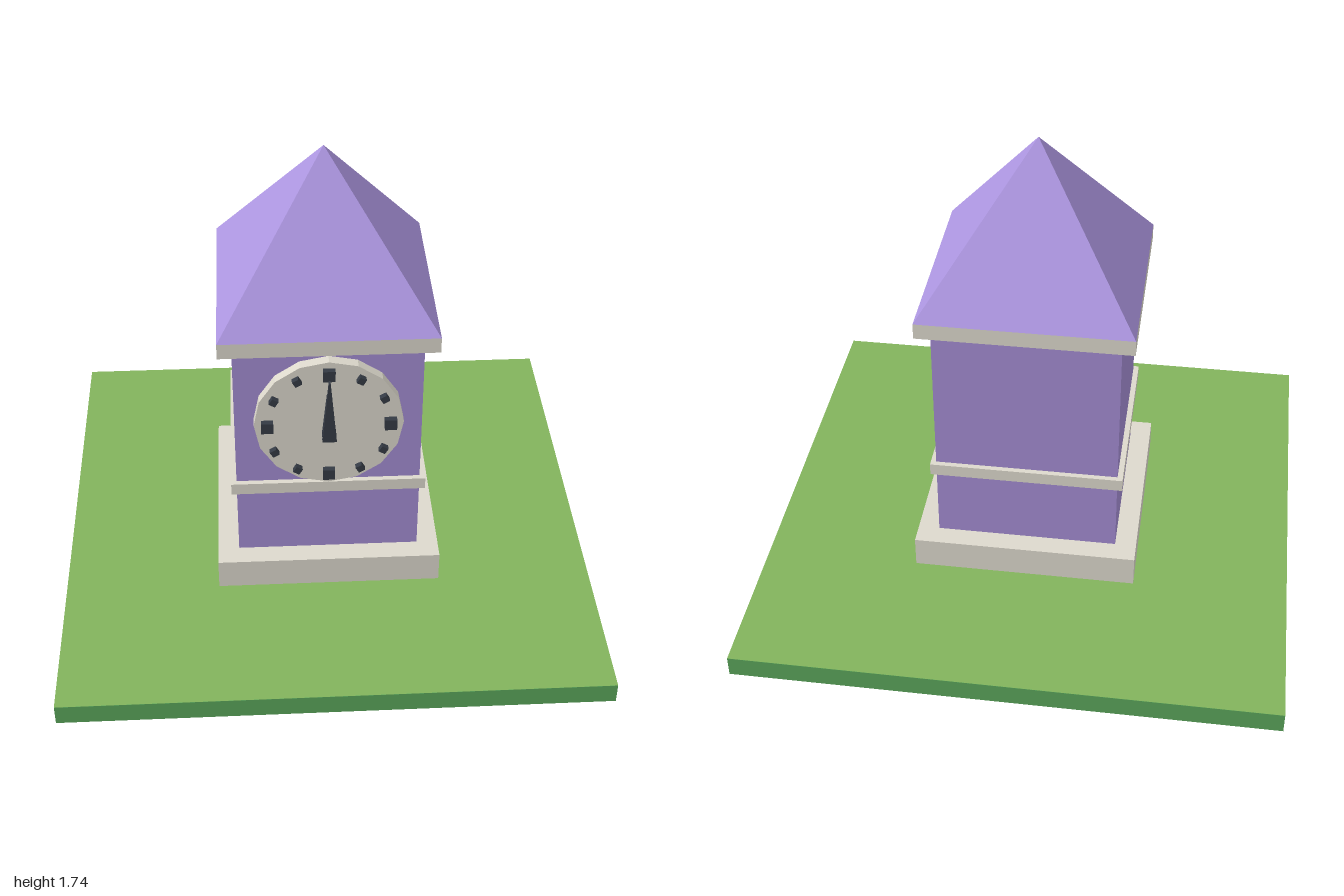
import * as THREE from 'three';

const mat = (color) => new THREE.MeshStandardMaterial({ color, flatShading: true });
const purple = mat(0xa38cd2);
const roofPurple = mat(0xae97e2);
const stone = mat(0xdcd8cc);
const dark = mat(0x343a44);
const green = mat(0x5aa55a);
const grass = mat(0x82b35c);

const CLOCK_Y = 0.82;
const FACE_Z = 0.38;

function add(parent, name, geometry, material, x = 0, y = 0, z = 0) {
  const mesh = new THREE.Mesh(geometry, material);
  mesh.name = name;
  mesh.position.set(x, y, z);
  parent.add(mesh);
  return mesh;
}

// Square block given by half width, bottom and top
function block(parent, name, half, y0, y1, material) {
  return add(parent, name, new THREE.BoxGeometry(half * 2, y1 - y0, half * 2), material, 0, (y0 + y1) / 2, 0);
}

// Tapered hand, wide behind the pivot and narrow at the tip
function hand(parent, name, tail, tip, wide, narrow, z) {
  const shape = new THREE.Shape([
    new THREE.Vector2(-wide, tail),
    new THREE.Vector2(wide, tail),
    new THREE.Vector2(narrow, tip),
    new THREE.Vector2(-narrow, tip),
  ]);
  const geometry = new THREE.ExtrudeGeometry(shape, { depth: 0.02, bevelEnabled: false });
  return add(parent, name, geometry, dark, 0, 0, z);
}

export function createModel() {
  const model = new THREE.Group();
  model.name = 'clockTower';

  // Ground slab with a lighter lawn surface
  block(model, 'ground', 1, 0, 0.079, green);
  add(model, 'lawn', new THREE.PlaneGeometry(2, 2).rotateX(-Math.PI / 2), grass, 0, 0.08, 0);

  // Tower stack
  block(model, 'plinth', 0.42, 0.079, 0.2, stone);
  block(model, 'tower', 0.34, 0.2, 1.125, purple);
  block(model, 'band', 0.36, 0.485, 0.532, stone);
  block(model, 'cornice', 0.39, 1.125, 1.185, stone);

  // Four-sided pyramid roof
  const roof = new THREE.ConeGeometry(0.39 * Math.SQRT2, 0.555, 4).rotateY(Math.PI / 4);
  add(model, 'roof', roof, roofPurple, 0, 1.185 + 0.555 / 2, 0);

  // Clock on the front wall
  const clock = new THREE.Group();
  clock.name = 'clock';
  clock.position.y = CLOCK_Y;
  model.add(clock);
  const dial = new THREE.CylinderGeometry(0.27, 0.27, 0.04, 16).rotateX(Math.PI / 2);
  add(clock, 'dial', dial, stone, 0, 0, FACE_Z - 0.02);

  // Hour marks, larger at every quarter
  for (let i = 0; i < 12; i++) {
    const a = (i * Math.PI) / 6;
    const size = i % 3 === 0 ? 0.044 : 0.026;
    const r = i % 3 === 0 ? 0.222 : 0.228;
    const mark = add(clock, 'hourMark', new THREE.BoxGeometry(size, size, 0.025), dark,
      Math.sin(a) * r, Math.cos(a) * r, FACE_Z + 0.0095);
    mark.rotation.z = -a;
  }

  hand(clock, 'hourHand', -0.04, 0.138, 0.026, 0.008, 0.386);
  hand(clock, 'minuteHand', -0.045, 0.213, 0.026, 0.003, 0.412);

  return model;
}
